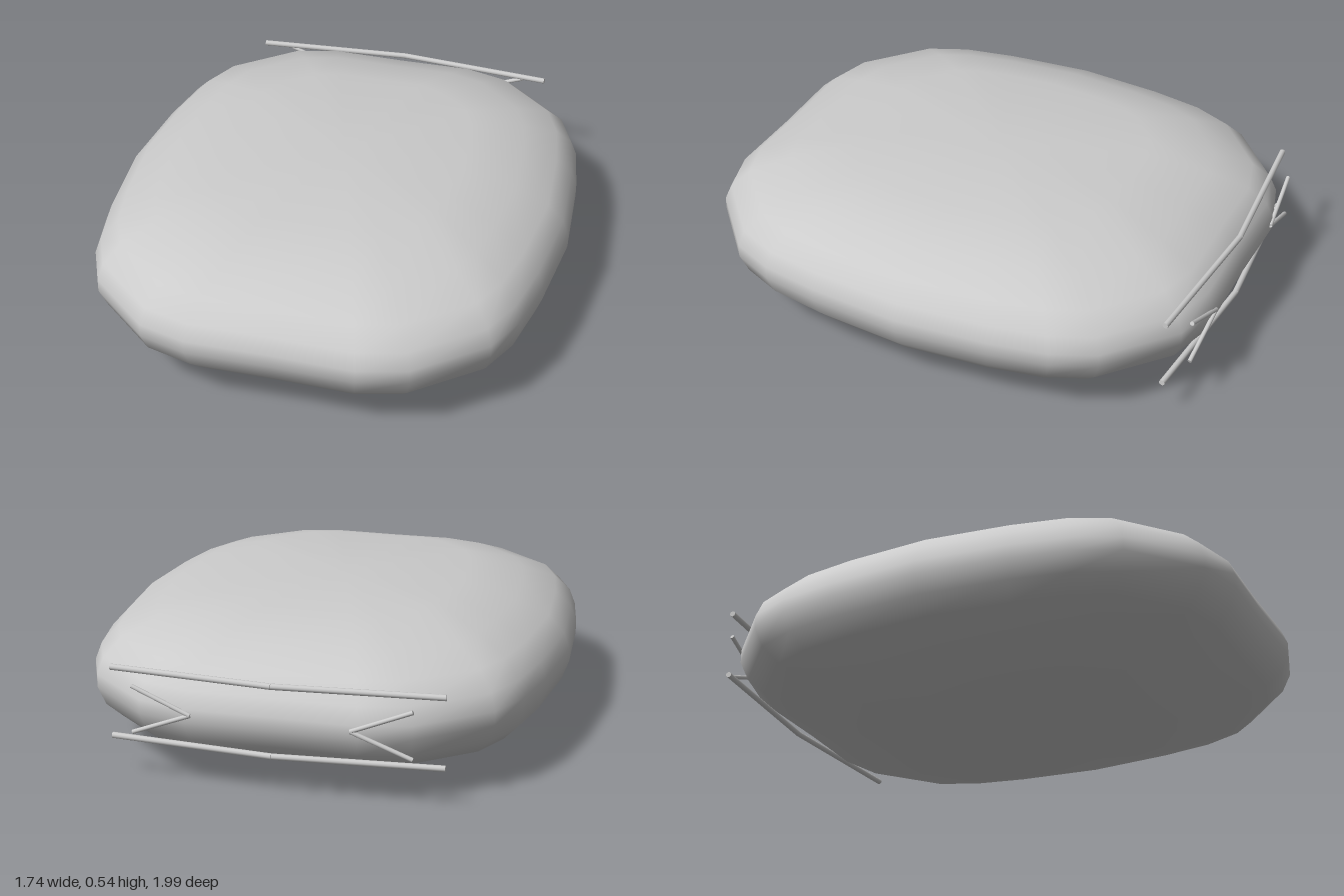
import * as THREE from 'three';

const material = new THREE.MeshStandardMaterial({ color: 0xcccccc, side: THREE.DoubleSide });

// Quarter of the plan outline (x, z), from the side to the front
const QUARTER = [[0.87, 0], [0.84, 0.35], [0.8, 0.57], [0.73, 0.73], [0.49, 0.94], [0.31, 0.99], [0, 0.985]];

// Height and outline scale of each level
const LEVELS = [[0, 0.555], [0.12, 0.905], [0.18, 0.97], [0.25, 1], [0.3, 1], [0.36, 0.975], [0.425, 0.905], [0.48, 0.76], [0.54, 0.53]];

function planOutline() {
  const back = [...QUARTER].reverse();
  return [
    ...QUARTER,
    ...back.slice(1).map(([x, z]) => [-x, z]),
    ...QUARTER.slice(1).map(([x, z]) => [-x, -z]),
    ...back.slice(1, -1).map(([x, z]) => [x, -z]),
  ];
}

// Smooth pillow lofted through scaled copies of the outline
function cushionGeometry() {
  const ring = planOutline();
  const n = ring.length;
  const positions = [];
  const index = [];
  for (const [y, s] of LEVELS) for (const [x, z] of ring) positions.push(x * s, y, z * s);
  const bottom = n * LEVELS.length;
  const top = bottom + 1;
  positions.push(0, 0, 0, 0, LEVELS.at(-1)[0], 0);
  const last = (LEVELS.length - 1) * n;
  for (let i = 0; i < n; i++) {
    const k = (i + 1) % n;
    for (let j = 0; j < last; j += n) {
      index.push(j + i, j + n + i, j + k, j + k, j + n + i, j + n + k);
    }
    index.push(bottom, i, k, top, last + k, last + i);
  }
  const geometry = new THREE.BufferGeometry();
  geometry.setAttribute('position', new THREE.Float32BufferAttribute(positions, 3));
  geometry.setIndex(index);
  geometry.computeVertexNormals();
  return geometry;
}

// Straight round rod between two points
function rod(name, from, to, radius) {
  const a = new THREE.Vector3(...from);
  const b = new THREE.Vector3(...to);
  const dir = b.clone().sub(a);
  const mesh = new THREE.Mesh(new THREE.CylinderGeometry(radius, radius, dir.length(), 10), material);
  mesh.name = name;
  mesh.position.copy(a).add(b).multiplyScalar(0.5);
  mesh.quaternion.setFromUnitVectors(new THREE.Vector3(0, 1, 0), dir.normalize());
  return mesh;
}

export function createModel() {
  const model = new THREE.Group();
  model.name = 'cushion';

  const body = new THREE.Mesh(cushionGeometry(), material);
  body.name = 'cushionBody';
  model.add(body);

  for (const side of [1, -1]) {
    const label = side > 0 ? 'left' : 'right';
    // Two long bars across the back, bent at the middle
    model.add(rod(label + 'UpperBar', [0, 0.405, -0.967], [side * 0.6, 0.405, -0.918], 0.011));
    model.add(rod(label + 'LowerBar', [0, 0.15, -0.967], [side * 0.6, 0.15, -0.918], 0.011));
    // Chevron between the bars, pointing to the middle
    const chevron = new THREE.Group();
    chevron.name = label + 'Chevron';
    for (const up of [1, -1]) {
      chevron.add(rod('chevronArm', [side * 0.285, 0.28, -0.992], [side * 0.5, 0.28 + up * 0.085, -0.98], 0.008));
    }
    model.add(chevron);
  }
  return model;
}
